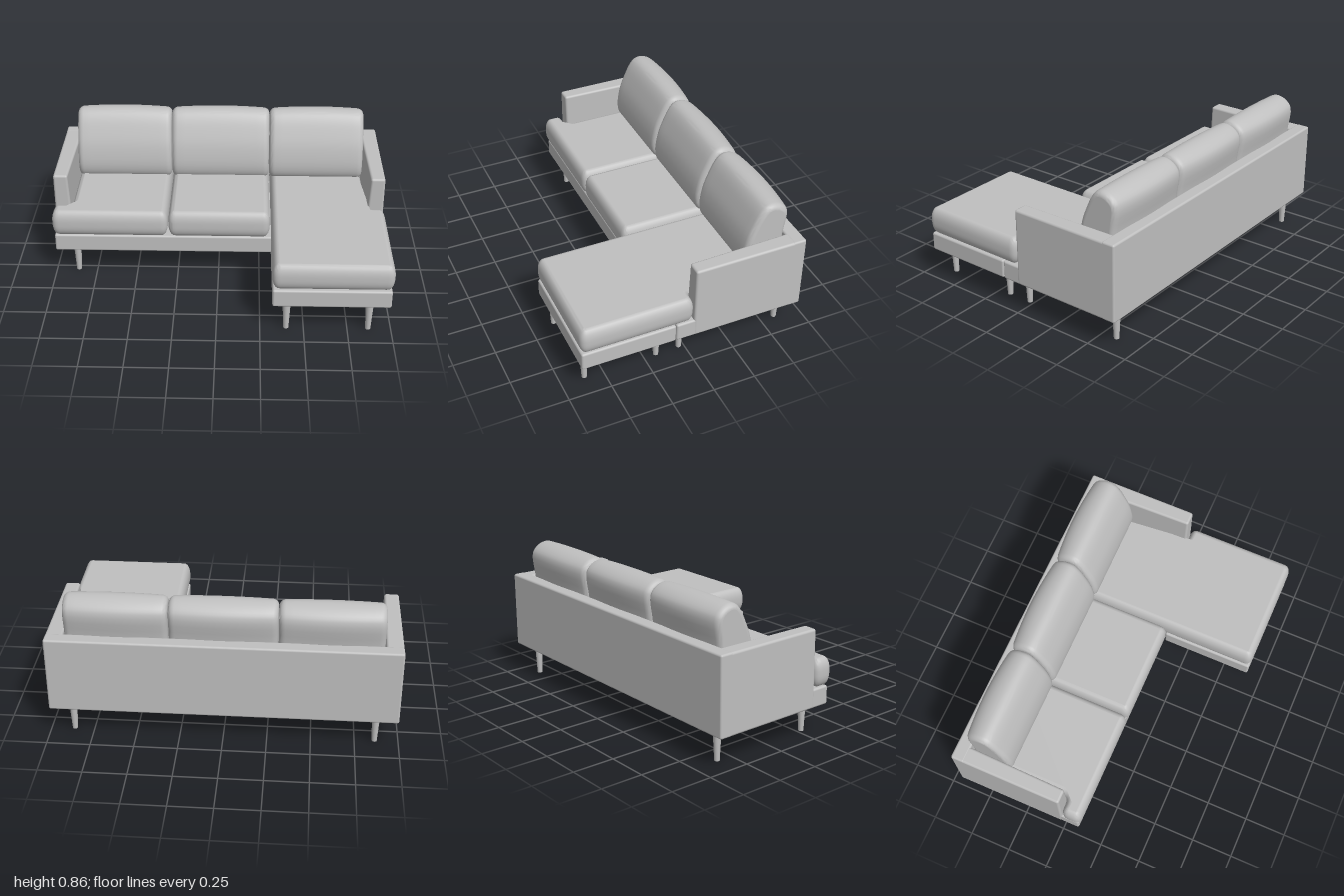
import * as THREE from 'three';
import { toCreasedNormals } from 'three/addons/utils/BufferGeometryUtils.js';
import { RoundedBoxGeometry } from 'three/addons/geometries/RoundedBoxGeometry.js';

const fabric = new THREE.MeshStandardMaterial({ color: 0xbfbfbf });
fabric.name = 'grey fabric';

// Closed outline with rounded corners
function roundedShape(points, r) {
  const shape = new THREE.Shape();
  const pts = points.map(([x, y]) => new THREE.Vector2(x, y));
  pts.forEach((p, i) => {
    const prev = pts[(i + pts.length - 1) % pts.length];
    const next = pts[(i + 1) % pts.length];
    const a = p.clone().add(prev.clone().sub(p).setLength(r));
    const b = p.clone().add(next.clone().sub(p).setLength(r));
    if (i === 0) shape.moveTo(a.x, a.y);
    else shape.lineTo(a.x, a.y);
    shape.quadraticCurveTo(p.x, p.y, b.x, b.y);
  });
  shape.closePath();
  return shape;
}

// Smooth the rolled edges but keep the two flat lids flat
function smooth(geometry) {
  const g = toCreasedNormals(geometry, 0.8);
  const { start, count } = g.groups[0];
  const normal = g.attributes.normal;
  for (let i = start; i < start + count; i++) normal.setXYZ(i, 0, 0, Math.sign(normal.getZ(i)));
  g.clearGroups();
  return g;
}

// Seat cushion from a plan outline in x, z
function seatGeometry(plan, bottom, top) {
  const roll = 0.07;
  const g = new THREE.ExtrudeGeometry(roundedShape(plan, 0.045), {
    depth: top - bottom - 2 * roll, curveSegments: 6,
    bevelThickness: roll, bevelSize: 0.038, bevelOffset: -0.038, bevelSegments: 7,
  });
  return smooth(g).rotateX(Math.PI / 2).translate(0, top - roll, 0);
}

// Leaning back cushion: side profile [z, y] run along x, tapering to its ends
const backProfile = [
  [-0.352, 0.5], [-0.365, 0.635], [-0.402, 0.74], [-0.44, 0.815], [-0.47, 0.846], [-0.512, 0.856],
  [-0.575, 0.838], [-0.62, 0.79], [-0.605, 0.64], [-0.58, 0.47], [-0.5, 0.43], [-0.38, 0.44],
];
function backCushionGeometry(width) {
  const curve = new THREE.CatmullRomCurve3(backProfile.map(([z, y]) => new THREE.Vector3(-z, y, 0)), true);
  const outline = curve.getPoints(48).slice(0, -1).map((p) => new THREE.Vector2(p.x, p.y));
  const b = 0.035;
  const g = new THREE.ExtrudeGeometry(new THREE.Shape(outline), {
    depth: width - 2 * b, steps: 12,
    bevelThickness: b, bevelSize: 0.03, bevelOffset: -0.03, bevelSegments: 6,
  });
  g.translate(0, 0, b - width / 2);
  const p = g.attributes.position;
  for (let i = 0; i < p.count; i++) {
    const t = (2 * p.getZ(i)) / width;
    const depth = p.getX(i) - 0.48;
    if (depth > 0) p.setX(i, 0.48 + depth * (1 - 0.14 * t * t));
    p.setY(i, 0.45 + (p.getY(i) - 0.45) * (1 - 0.02 * t * t));
  }
  return smooth(g).rotateY(Math.PI / 2);
}

export function createModel() {
  const sofa = new THREE.Group();
  sofa.name = 'cornerSofa';

  function add(name, geometry, x = 0, y = 0, z = 0) {
    const mesh = new THREE.Mesh(geometry, fabric);
    mesh.name = name;
    mesh.position.set(x, y, z);
    sofa.add(mesh);
    return mesh;
  }
  function block(name, x0, x1, y0, y1, z0, z1, r = 0.012) {
    const g = new RoundedBoxGeometry(x1 - x0, y1 - y0, z1 - z0, 3, r);
    return add(name, g, (x0 + x1) / 2, (y0 + y1) / 2, (z0 + z1) / 2);
  }

  // Frame
  block('seatBase', -0.988, 0.988, 0.178, 0.288, -0.66, 0.105);
  block('chaiseBase', 0.317, 0.988, 0.178, 0.288, 0.108, 0.665);
  block('backrest', -0.99, 0.99, 0.178, 0.637, -0.672, -0.59);

  // Arms, thinner towards the top and the front on the inner face
  for (const side of [-1, 1]) {
    const x0 = side < 0 ? -0.99 : 0.87;
    const arm = block(side < 0 ? 'rightArm' : 'leftArm', x0, x0 + 0.12, 0.178, 0.636, -0.672, 0, 0.014);
    const p = arm.geometry.attributes.position;
    for (let i = 0; i < p.count; i++) {
      if (p.getX(i) * side < 0) {
        const high = p.getY(i) > 0 ? 0.02 : 0;
        const front = p.getZ(i) > 0 ? 0.014 : 0;
        p.setX(i, p.getX(i) + side * (high + front));
      }
    }
  }

  // Seat cushions, the outer two wrapping round the arm fronts
  add('rightSeatCushion', seatGeometry([
    [-0.998, 0.005], [-0.89, 0.005], [-0.89, -0.59], [-0.304, -0.59], [-0.304, 0.125], [-0.998, 0.125],
  ], 0.288, 0.455));
  add('middleSeatCushion', seatGeometry([
    [-0.3, -0.59], [0.308, -0.59], [0.308, 0.125], [-0.3, 0.125],
  ], 0.288, 0.457));
  add('chaiseCushion', seatGeometry([
    [0.314, -0.59], [0.89, -0.59], [0.89, 0.005], [0.998, 0.005], [0.998, 0.67], [0.314, 0.67],
  ], 0.288, 0.45));

  // Back cushions
  [['right', -0.888, -0.304], ['middle', -0.3, 0.304], ['left', 0.308, 0.888]].forEach(([name, x0, x1]) => {
    add(name + 'BackCushion', backCushionGeometry(x1 - x0), (x0 + x1) / 2);
  });

  // Tapered legs
  const legGeometry = new THREE.CylinderGeometry(0.024, 0.015, 0.184, 20);
  const legSpots = [
    [-0.865, -0.59], [0.865, -0.59], [-0.01, -0.27], [-0.865, 0.03], [0.865, 0.03],
    [0.4, 0.175], [0.87, 0.175], [0.4, 0.61], [0.87, 0.61],
  ];
  legSpots.forEach(([x, z]) => add('leg', legGeometry, x, 0.092, z));

  return sofa;
}
